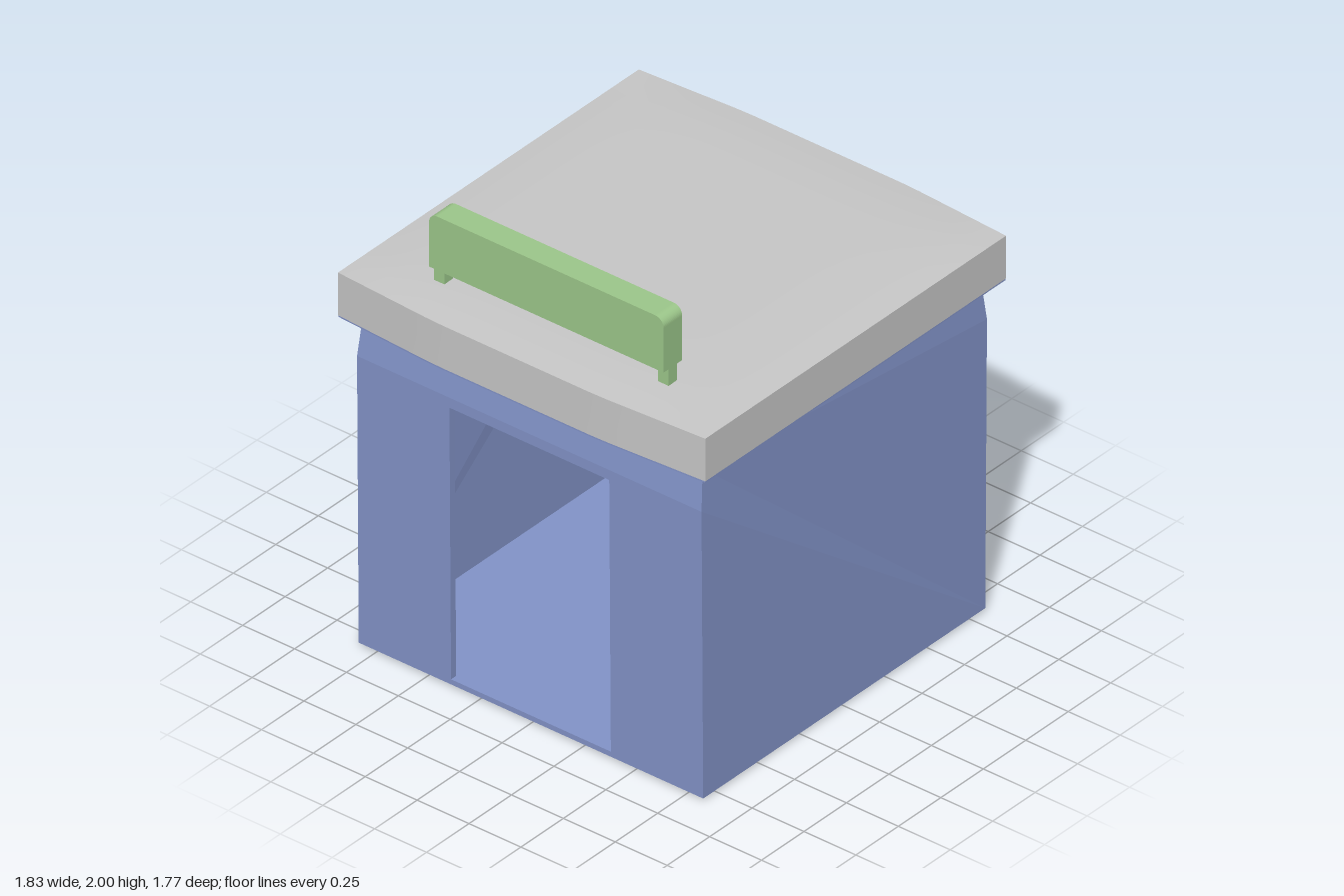
import * as THREE from 'three';

const blue = new THREE.MeshStandardMaterial({ color: 0x8394c9 });
blue.name = 'wall blue';
const grey = new THREE.MeshStandardMaterial({ color: 0xc8c8c8 });
grey.name = 'roof grey';
const green = new THREE.MeshStandardMaterial({ color: 0x9dc88b });
green.name = 'sign green';

const HALF = 0.83, WALL = 0.03, BASE = 0.012, SHOULDER = 1.3, TOP = 1.475;

// Move every vertex by a rule, then refresh the normals
function warp(geometry, rule) {
  const pos = geometry.attributes.position;
  const v = new THREE.Vector3();
  for (let i = 0; i < pos.count; i++) {
    v.fromBufferAttribute(pos, i);
    rule(v);
    pos.setXYZ(i, v.x, v.y, v.z);
  }
  geometry.computeVertexNormals();
  return geometry;
}

// Walls widen slightly up to the shoulder, then lean in under the roof
function taper(v) {
  const lean = Math.max(0, (v.y - SHOULDER) / (TOP - SHOULDER));
  const flare = 0.012 * Math.min(1, v.y / SHOULDER);
  v.x *= 1 + flare - 0.025 * lean;
  v.z *= 1 - 0.014 * lean;
}

function add(parent, name, geometry, material) {
  const mesh = new THREE.Mesh(geometry, material);
  mesh.name = name;
  parent.add(mesh);
  return mesh;
}

// Upright panel, with an optional doorway
function wallGeometry(half, door) {
  const shape = new THREE.Shape([
    [-half, BASE], [half, BASE], [half, SHOULDER], [half, TOP], [-half, TOP], [-half, SHOULDER],
  ].map(([x, y]) => new THREE.Vector2(x, y)));
  if (door) {
    shape.holes.push(new THREE.Path([
      [-0.385, 0.035], [-0.385, 1.255], [0.385, 1.255], [0.385, 0.035],
    ].map(([x, y]) => new THREE.Vector2(x, y))));
  }
  return new THREE.ExtrudeGeometry(shape, { depth: WALL, bevelEnabled: false });
}

export function createModel() {
  const model = new THREE.Group();
  model.name = 'kiosk';

  // Four thin walls around a hollow room, doorway on the -x side
  const walls = new THREE.Group();
  walls.name = 'walls';
  model.add(walls);
  const sides = [['frontWall', 0], ['leftWall', 1], ['backWall', 2], ['doorWall', 3]];
  for (const [name, turn] of sides) {
    const half = turn % 2 ? HALF - WALL : HALF;
    const geometry = wallGeometry(half, name === 'doorWall');
    geometry.translate(0, 0, HALF - WALL).rotateY(turn * Math.PI / 2);
    add(walls, name, warp(geometry, taper), blue);
  }

  // Floor with a gently bulging underside
  const floor = new THREE.BoxGeometry(2 * HALF, 0.035, 2 * HALF, 8, 1, 8);
  warp(floor, (v) => {
    const edge = Math.max(Math.abs(v.x), Math.abs(v.z)) / HALF;
    v.y = v.y > 0 ? 0.035 : BASE * Math.max(0, (edge - 0.5) / 0.5);
    v.x *= 0.999;
    v.z *= 0.999;
  });
  add(model, 'floor', floor, blue);

  // Roof slab with bowed sides and a soft dome
  const bow = (t) => 0.885 + 0.03 * Math.min(1, (1 - Math.abs(t)) / 0.55);
  const roof = new THREE.BoxGeometry(2, 2, 2, 20, 1, 20);
  warp(roof, (v) => {
    const dome = (1 - v.x ** 6) * (1 - v.z ** 6);
    v.y = v.y > 0 ? 1.673 + 0.017 * dome : 1.482;
    v.x *= bow(v.z);
    v.z *= 0.885;
  });
  add(model, 'roof', roof, grey);

  // Soffit closing the room and the overhang from below
  const soffit = new THREE.BoxGeometry(2, 0.008, 2, 20, 1, 20);
  warp(soffit, (v) => {
    v.y += 1.478;
    v.x *= bow(v.z) - 0.002;
    v.z *= 0.883;
  });
  add(model, 'soffit', soffit, blue);

  // Sign board with rounded upper corners, on two short posts
  const sign = new THREE.Group();
  sign.name = 'roofSign';
  model.add(sign);
  const w = 0.565, r = 0.04;
  const outline = new THREE.Shape();
  outline.moveTo(-w, 1.76);
  outline.lineTo(w, 1.76);
  outline.lineTo(w, 2 - r);
  outline.absarc(w - r, 2 - r, r, 0, Math.PI / 2, false);
  outline.lineTo(-w + r, 2);
  outline.absarc(-w + r, 2 - r, r, Math.PI / 2, Math.PI, false);
  outline.closePath();
  const board = new THREE.ExtrudeGeometry(outline, { depth: 0.11, bevelEnabled: false, curveSegments: 6 });
  board.rotateY(Math.PI / 2).translate(-0.74, 0, 0);
  add(sign, 'signBoard', board, green);
  for (const s of [-1, 1]) {
    const post = add(sign, s > 0 ? 'frontPost' : 'backPost', new THREE.BoxGeometry(0.05, 0.1, 0.05), green);
    post.position.set(-0.685, 1.715, s * 0.54);
  }
  return model;
}
